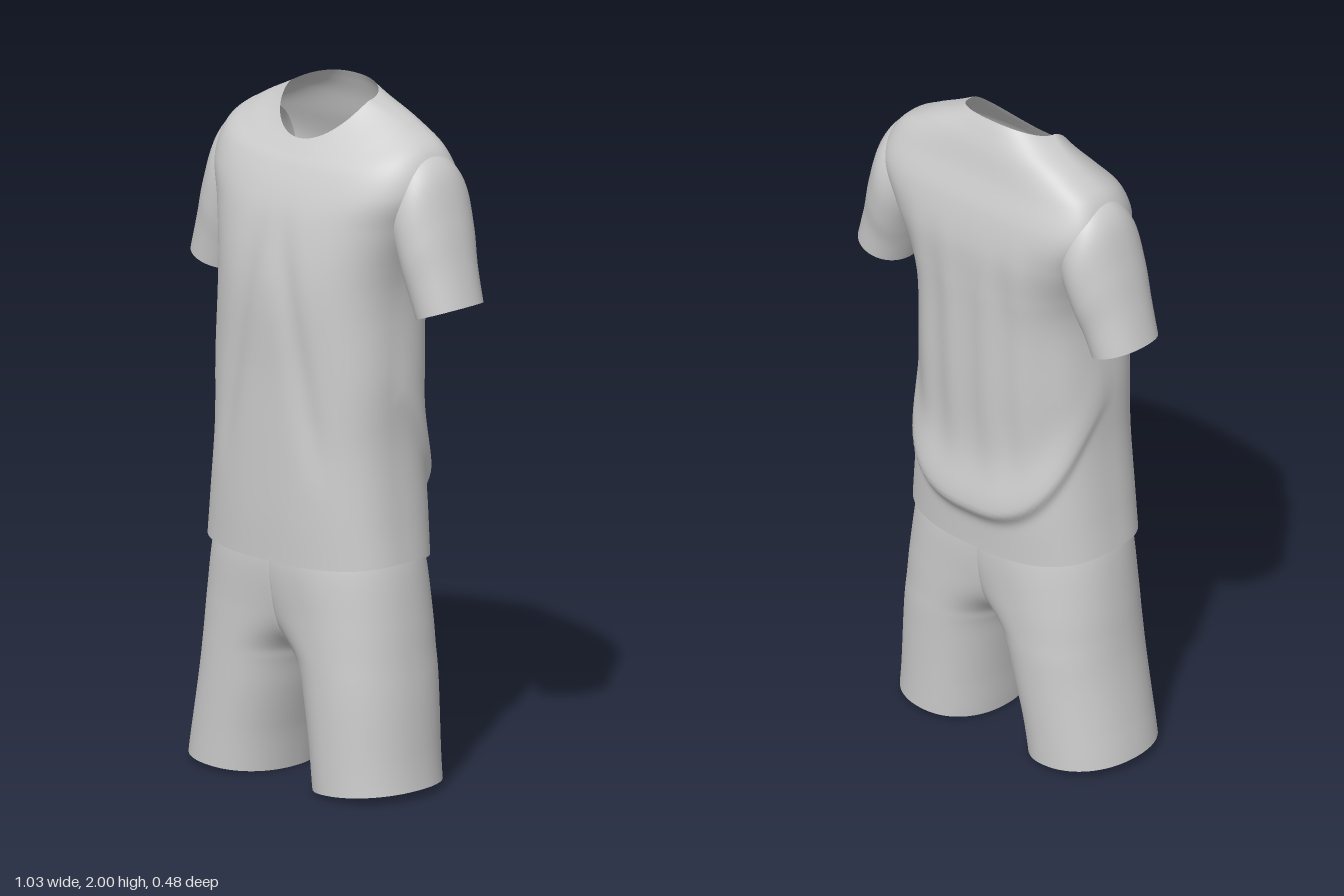
import * as THREE from 'three';

const { smoothstep } = THREE.MathUtils;
const fabric = new THREE.MeshStandardMaterial({ color: 0xcccccc, side: THREE.DoubleSide });
fabric.name = 'grey fabric';

// Signed power, for rounded-box cross-sections
const spow = (v, p) => Math.sign(v) * Math.pow(Math.abs(v), p);

// Skins rings that run smoothly through the key rows; point(row, angle, v) places a vertex
function loft(name, keys, steps, sides, point, flip = false) {
  const size = keys[0].length;
  const curve = new THREE.CubicInterpolant(keys.map((_, i) => i), keys.flat(), size, new Float32Array(size));
  const rows = (keys.length - 1) * steps;
  const positions = [], index = [];
  for (let r = 0; r <= rows; r++) {
    const v = r / steps;
    const row = Array.from(curve.evaluate(v));
    for (let i = 0; i < sides; i++) positions.push(...point(row, (i / sides) * Math.PI * 2, v));
  }
  for (let r = 0; r < rows; r++) {
    for (let i = 0; i < sides; i++) {
      const j = (i + 1) % sides;
      const a = r * sides + i, b = a + sides, c = r * sides + j, d = c + sides;
      // Faces lying flat in the middle plane would be inner walls
      if ([a, b, c, d].every((k) => Math.abs(positions[3 * k]) < 1e-6)) continue;
      if (flip) index.push(a, c, b, c, d, b);
      else index.push(a, b, c, c, b, d);
    }
  }
  const geometry = new THREE.BufferGeometry();
  geometry.setAttribute('position', new THREE.Float32BufferAttribute(positions, 3));
  geometry.setIndex(index);
  geometry.computeVertexNormals();
  const mesh = new THREE.Mesh(geometry, fabric);
  mesh.name = name;
  return mesh;
}

// Shirt body, hem to neckline:
// side y, front y, back y, half width, front z, back z, side z, front roundness, back roundness
const BODY = [
  [0.675, 0.66, 0.645, 0.342, 0.238, -0.205, 0.03, 0.8, 0.75],
  [0.8, 0.8, 0.79, 0.327, 0.24, -0.212, 0.03, 0.8, 0.75],
  [1.0, 1.0, 1.0, 0.309, 0.238, -0.212, 0.03, 0.8, 0.75],
  [1.2, 1.2, 1.2, 0.308, 0.236, -0.222, 0.03, 0.8, 0.75],
  [1.4, 1.4, 1.4, 0.298, 0.24, -0.23, 0.02, 0.8, 0.72],
  [1.52, 1.52, 1.52, 0.31, 0.232, -0.235, 0, 0.8, 0.66],
  [1.64, 1.64, 1.64, 0.346, 0.208, -0.236, -0.03, 0.8, 0.58],
  [1.755, 1.72, 1.75, 0.388, 0.18, -0.218, -0.06, 0.8, 0.52],
  [1.852, 1.785, 1.845, 0.36, 0.148, -0.186, -0.064, 0.78, 0.58],
  [1.908, 1.82, 1.92, 0.28, 0.125, -0.165, -0.06, 0.83, 0.72],
  [1.95, 1.845, 1.97, 0.195, 0.108, -0.145, -0.045, 0.93, 0.85],
  [1.97, 1.857, 2.0, 0.152, 0.1, -0.13, -0.03, 1, 0.9]
];

function bodyPoint([ySide, yFront, yBack, w, zFront, zBack, zSide, pFront, pBack], t) {
  const c = Math.cos(t), s = Math.sin(t), n = Math.abs(s);
  const front = s > 0;
  const p = front ? pFront : pBack;
  const y = ySide + ((front ? yFront : yBack) - ySide) * Math.pow(n, 1.3);
  let x = w * spow(c, p);
  let z = zSide + ((front ? zFront : zBack) - zSide) * Math.pow(n, p);
  const drape = smoothstep(y, 0.85, 1.1) * (1 - smoothstep(y, 1.45, 1.75));
  if (front) {
    // Soft diagonal pulls from the chest to the waist
    const ridge = Math.abs(x) - (0.07 + 0.2 * (1.5 - y));
    z -= 0.012 * n * drape * Math.exp(-((ridge / 0.04) ** 2));
  } else {
    // Hanging pleats, and the cloth rolled over above the hem
    z += 0.005 * n * drape * Math.cos(x * 50);
    const d = y - (0.79 + 0.38 * (1 - n));
    const roll = 0.028 * Math.sqrt(n) * (d > 0 ? Math.exp(-((d / 0.11) ** 2)) : Math.exp(-((d / 0.03) ** 2)));
    z -= roll * n;
    x += roll * c * 0.6;
  }
  return [x, y, z];
}

// Sleeve, shoulder to cuff: outer x, outer y, inner x, inner y, middle z, half depth
const SLEEVE = [
  [0.25, 1.87, 0.21, 1.62, -0.06, 0.07],
  [0.345, 1.853, 0.26, 1.59, -0.063, 0.112],
  [0.407, 1.797, 0.3, 1.54, -0.064, 0.132],
  [0.452, 1.67, 0.325, 1.48, -0.06, 0.128],
  [0.485, 1.55, 0.342, 1.43, -0.056, 0.114],
  [0.517, 1.437, 0.36, 1.38, -0.055, 0.106]
];

// One leg tube, opening to waist, cut off at the middle plane:
// y, outer x, middle x, inner x, front z, back z
const LEG = [
  [0.012, 0.405, 0.235, 0.082, 0.21, -0.175],
  [0.12, 0.392, 0.22, 0.066, 0.211, -0.178],
  [0.25, 0.377, 0.2, 0.038, 0.213, -0.183],
  [0.34, 0.367, 0.185, 0.014, 0.214, -0.187],
  [0.4, 0.361, 0.17, -0.022, 0.215, -0.188],
  [0.5, 0.352, 0.145, -0.16, 0.217, -0.19],
  [0.66, 0.333, 0.09, -0.34, 0.222, -0.19],
  [0.76, 0.305, 0.07, -0.36, 0.2, -0.165]
];

function legPoint(side, [y, xo, xm, xi, zf, zb], t, v) {
  const c = Math.cos(t), s = Math.sin(t);
  const x = Math.max(0, xm + (c > 0 ? xo - xm : xm - xi) * spow(c, 0.92));
  const z = (zf + zb) / 2 + ((zf - zb) / 2) * spow(s, 0.92);
  const tilt = 0.012 * c * Math.max(0, 1 - v);
  const lean = 0.013 * (1 - smoothstep(y, 0, 0.34));
  return [side * x - lean, y + tilt, z];
}

export function createModel() {
  const model = new THREE.Group();
  model.name = 'sportsOutfit';
  const shirt = new THREE.Group();
  shirt.name = 'shirt';
  const shorts = new THREE.Group();
  shorts.name = 'shorts';
  model.add(shirt, shorts);

  shirt.add(loft('shirtBody', BODY, 12, 120, bodyPoint));
  for (const side of [1, -1]) {
    const label = side > 0 ? 'left' : 'right';
    shirt.add(loft(label + 'Sleeve', SLEEVE, 8, 48, ([ox, oy, ix, iy, z, h], t) => {
      const k = (1 + Math.cos(t)) / 2;
      return [side * (ix + (ox - ix) * k), iy + (oy - iy) * k, z + h * spow(Math.sin(t), 0.9)];
    }, side > 0));
    shorts.add(loft(label + 'ShortsHalf', LEG, 10, 144,
      (row, t, v) => legPoint(side, row, t, v), side < 0));
  }
  return model;
}
